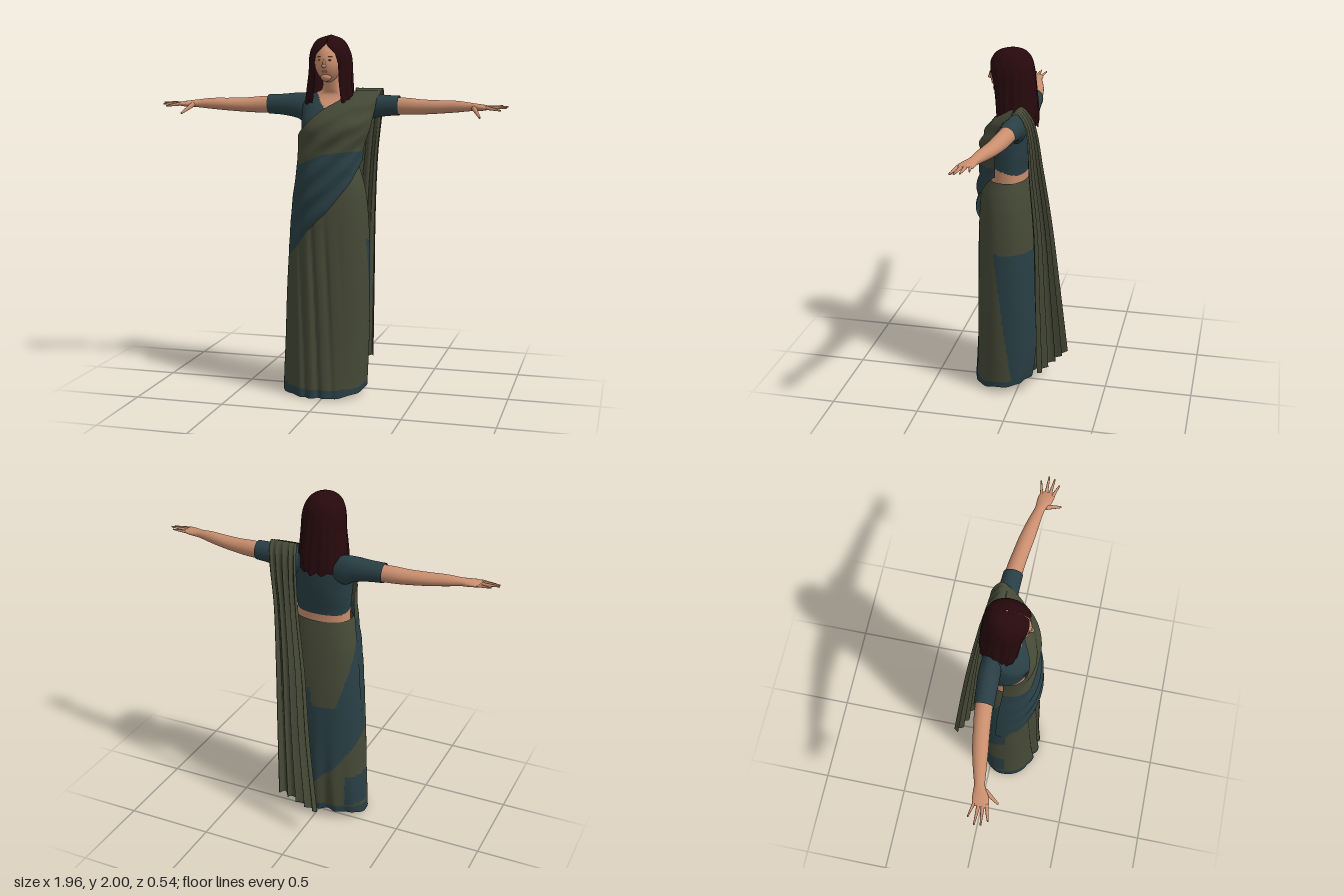
import * as THREE from 'three';

const mat = (name, color, side = THREE.FrontSide) => {
  const m = new THREE.MeshStandardMaterial({ color, side });
  m.name = name;
  return m;
};

// Smooth lookup in a table whose first column is the ascending key
function look(rows, t) {
  let i = 0;
  while (i < rows.length - 2 && t > rows[i + 1][0]) i++;
  const a = rows[i], b = rows[i + 1], h = b[0] - a[0];
  const k = Math.min(1, Math.max(0, (t - a[0]) / h));
  const slope = (j, c) => {
    const p = rows[Math.max(0, j - 1)], q = rows[Math.min(rows.length - 1, j + 1)];
    return (q[c] - p[c]) / (q[0] - p[0]);
  };
  const k2 = k * k, k3 = k2 * k;
  return a.map((_, c) => c === 0 ? t : (2 * k3 - 3 * k2 + 1) * a[c] + (k3 - 2 * k2 + k) * h * slope(i, c)
    + (3 * k2 - 2 * k3) * b[c] + (k3 - k2) * h * slope(i + 1, c));
}
// Straight-line lookup of one value
function line(rows, t) {
  if (t <= rows[0][0]) return rows[0][1];
  for (let i = 1; i < rows.length; i++) {
    const [a, p] = rows[i - 1], [b, q] = rows[i];
    if (t <= b) return p + (q - p) * (t - a) / (b - a);
  }
  return rows[rows.length - 1][1];
}
// Body cross-section: rows are [y, right half width, left half width, centre z, front z, back z]
function ring(rows, y, th, n = 2.2, skew = 0) {
  const [, xr, xl, cz, zf, zb] = look(rows, y);
  const c = Math.cos(th), s = Math.sin(th);
  const p = (v) => Math.sign(v) * Math.pow(Math.abs(v), 2 / n);
  return [p(c) * (c > 0 ? xl : xr), y, cz + p(s) * (s > 0 ? (zf - cz) * (1 - skew * Math.max(0, c)) : cz - zb)];
}
// Surface from f(u, v); pick(point) gives the material index of each cell
function sheet(name, nu, nv, f, mats, closed = false, pick = () => 0) {
  const pos = [], cols = closed ? nu : nu + 1, lists = mats.map(() => []);
  for (let j = 0; j <= nv; j++) for (let i = 0; i < cols; i++) pos.push(...f(i / nu, j / nv));
  for (let j = 0; j < nv; j++) for (let i = 0; i < nu; i++) {
    const a = j * cols + i, b = j * cols + (i + 1) % cols, c = a + cols, d = b + cols;
    const mid = [0, 1, 2].map((k) => (pos[a * 3 + k] + pos[b * 3 + k] + pos[c * 3 + k] + pos[d * 3 + k]) / 4);
    lists[pick(mid)].push(a, c, b, b, c, d);
  }
  const g = new THREE.BufferGeometry();
  g.setAttribute('position', new THREE.Float32BufferAttribute(pos, 3));
  g.setIndex(lists.flat());
  let start = 0;
  lists.forEach((l, i) => { g.addGroup(start, l.length, i); start += l.length; });
  g.computeVertexNormals();
  const m = new THREE.Mesh(g, mats);
  m.name = name;
  return m;
}

export function createModel() {
  const model = new THREE.Group();
  const skin = mat('skin', 0xc98e6e), hair = mat('hair', 0x27090d, THREE.DoubleSide);
  const green = mat('greenCloth', 0x454936, THREE.DoubleSide), teal = mat('tealCloth', 0x293f45, THREE.DoubleSide);
  const dark = mat('eyeBrown', 0x3a231d), lip = mat('lip', 0xb0705c);
  const TAU = Math.PI * 2;
  const ball = (name, m, p, s, parent) => {
    const b = new THREE.Mesh(new THREE.SphereGeometry(1, 16, 12), m);
    b.position.set(...p); b.scale.set(...s); b.name = name;
    parent.add(b);
    return b;
  };

  // Torso: bare midriff, blouse with a scooped neck, and neck
  const torso = [
    [1.24, .15, .15, .06, .17, -.03], [1.33, .152, .152, .06, .18, -.033], [1.42, .16, .16, .05, .195, -.048],
    [1.5, .165, .165, .05, .205, -.058], [1.6, .17, .17, .03, .13, -.062], [1.65, .155, .155, .02, .085, -.055],
    [1.68, .11, .11, .02, .07, -.035], [1.7, .06, .06, .03, .075, -.02], [1.8, .048, .048, .05, .095, .005]];
  model.add(sheet('torso', 96, 100, (u, v) => ring(torso, 1.24 + v * .56, u * TAU), [skin, teal], true, ([x, y, z]) =>
    y < 1.318 + .28 * Math.max(0, z) || y > (z > .02 ? 1.6 : 1.572) + 14 * x * x ? 0 : 1));

  // Skirt with front pleats, contrast panels and hem
  const skirt = [
    [0, .268, .212, .08, .272, -.055], [.12, .264, .216, .08, .264, -.083], [.3, .256, .222, .08, .255, -.1],
    [.6, .245, .226, .08, .25, -.1], [.9, .226, .221, .08, .245, -.09], [1.1, .206, .207, .08, .238, -.07],
    [1.2, .186, .188, .08, .225, -.055], [1.285, .16, .16, .07, .19, -.037]];
  const hem = (s) => .03 - .028 * s;
  model.add(sheet('skirt', 160, 110, (u, v) => {
    const th = u * TAU, s = Math.sin(th), c = Math.cos(th);
    const h = hem(s) + .012 * c * Math.abs(c) + .003 * Math.sin(th * 9) * (1 - v);
    const y = h + (1.28 - h) * v, p = ring(skirt, y, th, 2.2, .1);
    const fade = Math.min(1, Math.max(0, (1.08 - y) * 3));
    if (s > 0) {
      const w = Math.sin((p[0] + .05 * y) * 80);
      p[2] += fade * .011 * (1 - 2 * Math.pow(.5 - .5 * w, 3)) * Math.exp(-(((p[0] + .05) / .1) ** 2));
    } else p[2] += (1 - v) ** 3 * .014 * Math.sin(p[0] * 60) * s * s;
    return p;
  }, [green, teal], true, ([x, y, z]) => {
    const s = -.8 * x + .6 * z;
    if (y < hem((z - .08) / .19) + .045) return 1;
    if (x > .02 && s < -.069 + .06 * (z > 0)) return y < .88 && z < .01 + .125 * y ? 1 : 0;
    if (z > .1) return 0;
    if (x < 0 && s > .12 && y > .1 && y < .3) return 1;
    return y < line([[-.069, .86], [-.06, .77], [.063, .77], [.17, 1.06], [.21, 1.2]], s)
      && y > line([[-.069, .24], [.25, .585]], s) ? 1 : 0;
  }));

  // Diagonal cloth across the chest, with a contrast lower part
  const wrap = [
    [.6, .248, .23, .06, .262, -.1], [.9, .231, .225, .06, .258, -.095], [1.1, .211, .205, .07, .256, -.075],
    [1.25, .188, .2, .08, .245, -.05], [1.38, .178, .2, .085, .224, -.05], [1.5, .181, .235, .075, .22, -.063],
    [1.6, .185, .252, .04, .16, -.065], [1.66, .185, .267, .02, .09, -.05], [1.7, .185, .272, -.005, .012, -.03]];
  const low = [[-1, .72], [-.4, .92], [0, 1.02], [.7, 1.2], [.9, 1.28], [1, 1.33]];
  const high = [[-1, 1.44], [-.5, 1.53], [0, 1.61], [.3, 1.665], [.5, 1.7], [1, 1.7]];
  model.add(sheet('chestDrape', 100, 90, (u, v) => {
    const th = .14 + u * (Math.PI * 1.03 - .14), c = th > Math.PI ? -1 : Math.cos(th);
    const y = line(low, c) + (line(high, c) - line(low, c)) * v;
    const p = ring(wrap, y, th, 2.2, .1 * Math.min(1, Math.max(0, (1.3 - y) * 5)));
    p[2] += .007 * Math.sin(v * 30 + c * 2) * Math.sin(Math.min(th, Math.PI)) * Math.min(1, (1 - v) * 6);
    return p;
  }, [green, teal], false, ([x, y]) => y < line([[-.18, 1.28], [0, 1.36], [.2, 1.375]], x) ? 1 : 0));

  // Long pleated end of the cloth: over the left shoulder and down the back
  const tail = [ // [t, y, outer x, inner x, outer z, inner z, pleat depth]
    [0, 1.695, .272, .125, .003, .005, 0], [.04, 1.707, .275, .118, -.035, -.03, .002], [.1, 1.62, .265, .1, -.075, -.085, .006],
    [.27, 1.35, .235, .07, -.088, -.125, .012], [.5, 1, .216, .015, -.112, -.165, .017],
    [.74, .6, .21, -.03, -.12, -.205, .02], [1, .155, .203, -.095, -.13, -.245, .022]];
  model.add(sheet('backDrape', 110, 60, (u, v) => {
    const [, y, xo, xi, zo, zi, amp] = look(tail, v);
    const w = Math.sin(u * TAU * 4.5 + .8 * Math.sin(u * 7)), lean = .6 * Math.cos(u * TAU * 4.5);
    return [xo + (xi - xo) * u - lean * amp * Math.sin(u * Math.PI), y + .012 * w * u * v, zo + (zi - zo) * u - amp * w];
  }, [green]));

  // Arms, sleeves and hands; s = 1 is the model's left
  const arm = [[.3, 1.615, .005, .046, .046], [.42, 1.613, .015, .046, .045], [.5, 1.611, .025, .041, .043],
    [.6, 1.613, .04, .036, .041], [.7, 1.617, .058, .031, .034], [.78, 1.617, .075, .022, .028],
    [.82, 1.615, .088, .019, .039], [.86, 1.615, .096, .014, .043], [.885, 1.615, .1, .008, .036]];
  const sleeve = [[.1, 1.6, 0, .07, .05], [.16, 1.598, 0, .083, .057], [.21, 1.61, .002, .071, .058],
    [.3, 1.615, .006, .058, .054], [.375, 1.616, .01, .054, .052]];
  const fingers = [ // [base, tip, radius]
    [[.8, 1.61, .11], [.84, 1.565, .18], .012], [[.87, 1.615, .128], [.945, 1.603, .15], .009],
    [[.87, 1.617, .11], [.972, 1.615, .12], .009], [[.87, 1.617, .09], [.978, 1.622, .088], .009],
    [[.86, 1.615, .068], [.945, 1.624, .05], .008]];
  for (const s of [1, -1]) {
    const g = new THREE.Group();
    g.name = s > 0 ? 'leftArm' : 'rightArm';
    const limb = (name, rows, m) => g.add(sheet(name, 28, 36, (u, v) => {
      const x = rows[0][0] + (rows[rows.length - 1][0] - rows[0][0]) * v;
      const [, y, z, ry, rz] = look(rows, x), a = -s * u * TAU;
      return [s * x, y + ry * Math.cos(a), z + rz * Math.sin(a)];
    }, [m], true));
    limb('forearmAndPalm', arm, skin);
    limb('sleeve', sleeve, teal);
    for (const [a, b, r] of fingers) {
      const p = new THREE.Vector3(s * a[0], a[1], a[2]), q = new THREE.Vector3(s * b[0], b[1], b[2]);
      const d = q.clone().sub(p), f = new THREE.Mesh(new THREE.CylinderGeometry(r * .45, r * 1.15, d.length(), 12), skin);
      f.position.copy(p).addScaledVector(d, .5);
      f.quaternion.setFromUnitVectors(new THREE.Vector3(0, 1, 0), d.normalize());
      f.name = 'finger';
      g.add(f);
      ball('knuckle', skin, p.toArray(), [r * 1.15, r * 1.15, r * 1.15], g);
    }
    model.add(g);
  }

  // Head: an egg narrowing to the chin, with simple features
  const head = new THREE.Group();
  head.name = 'head';
  const face = new THREE.SphereGeometry(1, 40, 30), fp = face.attributes.position;
  for (let i = 0; i < fp.count; i++) {
    const y = fp.getY(i), k = y < -.2 ? 1 - .18 * (-y - .2) : 1;
    fp.setXYZ(i, fp.getX(i) * .075 * k, y * .108, fp.getZ(i) * .098);
  }
  face.computeVertexNormals();
  const faceMesh = new THREE.Mesh(face, skin);
  faceMesh.name = 'face';
  faceMesh.position.set(-.008, 1.85, .08);
  head.add(faceMesh);
  ball('noseBridge', skin, [-.008, 1.85, .172], [.008, .026, .012], head).rotation.x = -.25;
  ball('noseTip', skin, [-.008, 1.832, .178], [.013, .01, .014], head);
  ball('chin', skin, [-.008, 1.772, .135], [.03, .024, .028], head);
  ball('lips', lip, [-.008, 1.801, .165], [.018, .005, .005], head);
  for (const s of [1, -1]) {
    ball('eye', dark, [-.008 + s * .03, 1.863, .1675], [.011, .0035, .0035], head).rotation.y = s * .45;
    ball('eyebrow', dark, [-.008 + s * .031, 1.882, .163], [.015, .0018, .003], head).rotation.y = s * .45;
  }
  model.add(head);

  // Long hair, parted around the face
  const hairRows = [
    [1.56, .143, .122, .04, .14, -.088], [1.64, .145, .125, .045, .145, -.088], [1.72, .136, .12, .05, .15, -.082],
    [1.8, .125, .115, .05, .16, -.075], [1.88, .119, .11, .05, .176, -.066], [1.94, .102, .09, .05, .165, -.05],
    [1.98, .068, .056, .05, .125, -.015], [2, .006, .002, .05, .055, .045]];
  const part = [[1.56, .85], [1.65, .6], [1.75, .55], [1.84, .58], [1.9, .46], [1.945, .02], [2, 0]];
  model.add(sheet('hair', 120, 50, (u, v) => {
    const back = Math.sin(u * Math.PI) ** 2;
    const y0 = 1.625 - .05 * back + .008 * Math.sin(u * 70), e = 1 - (1 - v) ** 1.4;
    const y = y0 + (2 - y0) * e, a = line(part, y);
    const p = ring(hairRows, y, Math.PI / 2 + a + u * (TAU - 2 * a), 2.15);
    const k = 1 + (1 - v) * (.025 * Math.sin(u * 95 + y * 6) + .015 * Math.sin(u * 41 - y * 9));
    return [p[0] * k, y, .04 + (p[2] - .04) * k];
  }, [hair]));

  return model;
}
